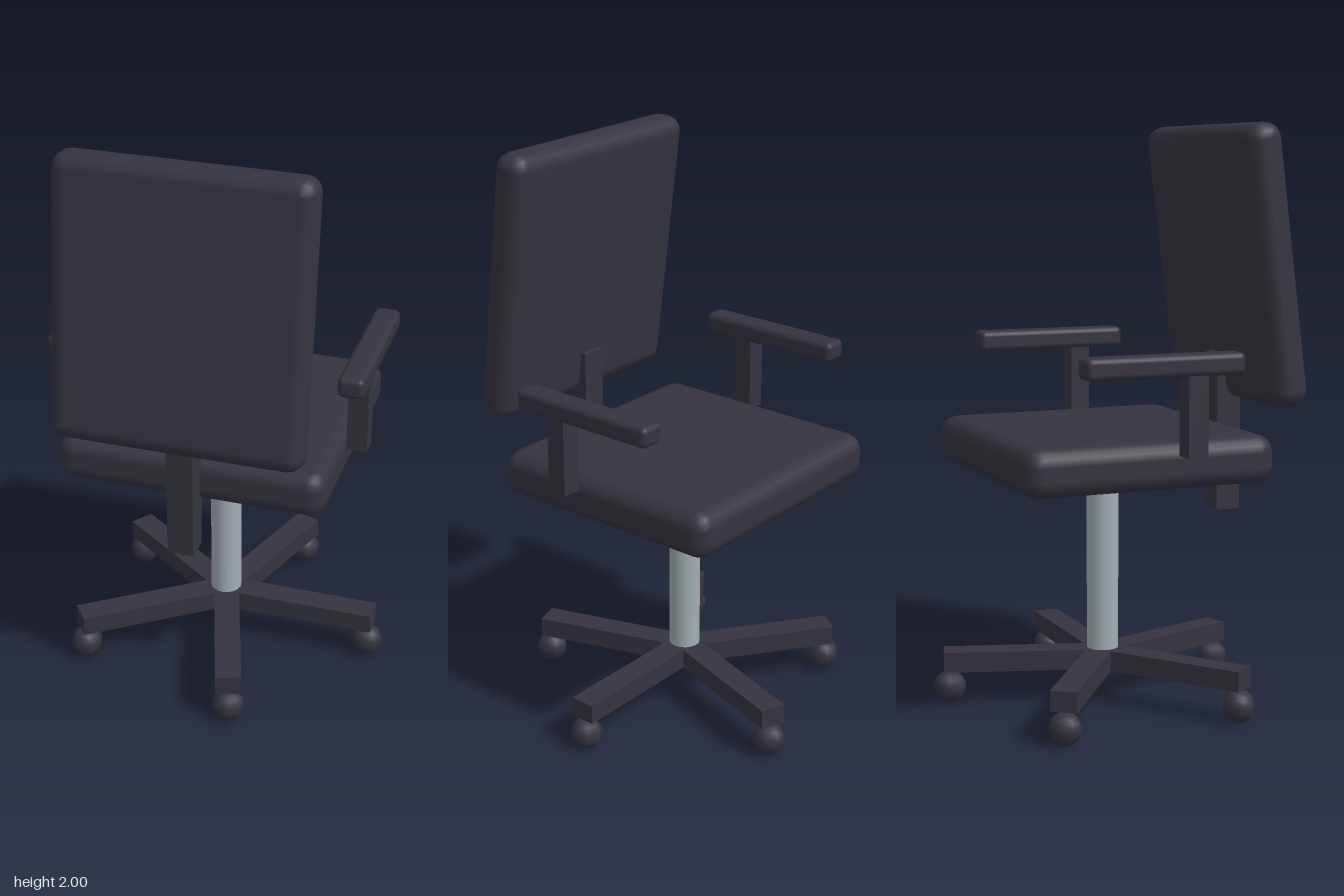
import * as THREE from 'three';
import { RoundedBoxGeometry } from 'three/addons/geometries/RoundedBoxGeometry.js';

export function createModel() {
  const dark = new THREE.MeshStandardMaterial({ color: 0x35343f });
  dark.name = 'charcoal';
  const metal = new THREE.MeshStandardMaterial({ color: 0xa3aeb4 });
  metal.name = 'brushed metal';

  const chair = new THREE.Group();
  chair.name = 'officeChair';
  // The chair is built about its column axis, slightly off the origin
  const body = new THREE.Group();
  body.name = 'chairBody';
  body.position.set(-0.024, 0, -0.006);
  chair.add(body);

  const add = (parent, name, geometry, material, x, y, z) => {
    const mesh = new THREE.Mesh(geometry, material);
    mesh.name = name;
    mesh.position.set(x, y, z);
    parent.add(mesh);
    return mesh;
  };

  // Five-spoke base, each spoke carrying a ball caster
  const spokeGeo = new THREE.BoxGeometry(0.555, 0.07, 0.09).translate(0.2775, 0, 0);
  const casterGeo = new THREE.SphereGeometry(0.056, 8, 12);
  for (let i = 0; i < 5; i++) {
    const leg = new THREE.Group();
    leg.name = 'baseLeg' + (i + 1);
    leg.rotation.y = (i * Math.PI * 2) / 5;
    add(leg, 'spoke', spokeGeo, dark, 0, 0.153, 0);
    add(leg, 'caster', casterGeo, dark, 0.535, 0.058, 0);
    body.add(leg);
  }

  // Gas column
  add(body, 'column', new THREE.CylinderGeometry(0.055, 0.055, 0.73, 16), metal, 0, 0.515, 0);

  // Seat cushion
  add(body, 'seat', new RoundedBoxGeometry(0.925, 0.163, 0.885, 2, 0.058), dark, 0, 0.893, -0.007);

  // Back post and tilted backrest
  add(body, 'backPost', new THREE.BoxGeometry(0.09, 0.56, 0.09), dark, 0, 0.93, 0.464);
  const back = add(body, 'backrest', new RoundedBoxGeometry(0.85, 0.952, 0.13, 2, 0.055), dark, 0, 1.526, 0.462);
  back.rotation.x = -0.13;

  // Armrests on both sides
  for (const side of [-1, 1]) {
    const arm = new THREE.Group();
    arm.name = side > 0 ? 'leftArmrest' : 'rightArmrest';
    arm.position.x = side * 0.501;
    add(arm, 'armPost', new THREE.BoxGeometry(0.07, 0.29, 0.07), dark, 0, 1.075, 0.107);
    add(arm, 'armPad', new RoundedBoxGeometry(0.09, 0.072, 0.555, 2, 0.02), dark, 0, 1.229, -0.004);
    body.add(arm);
  }

  return chair;
}
